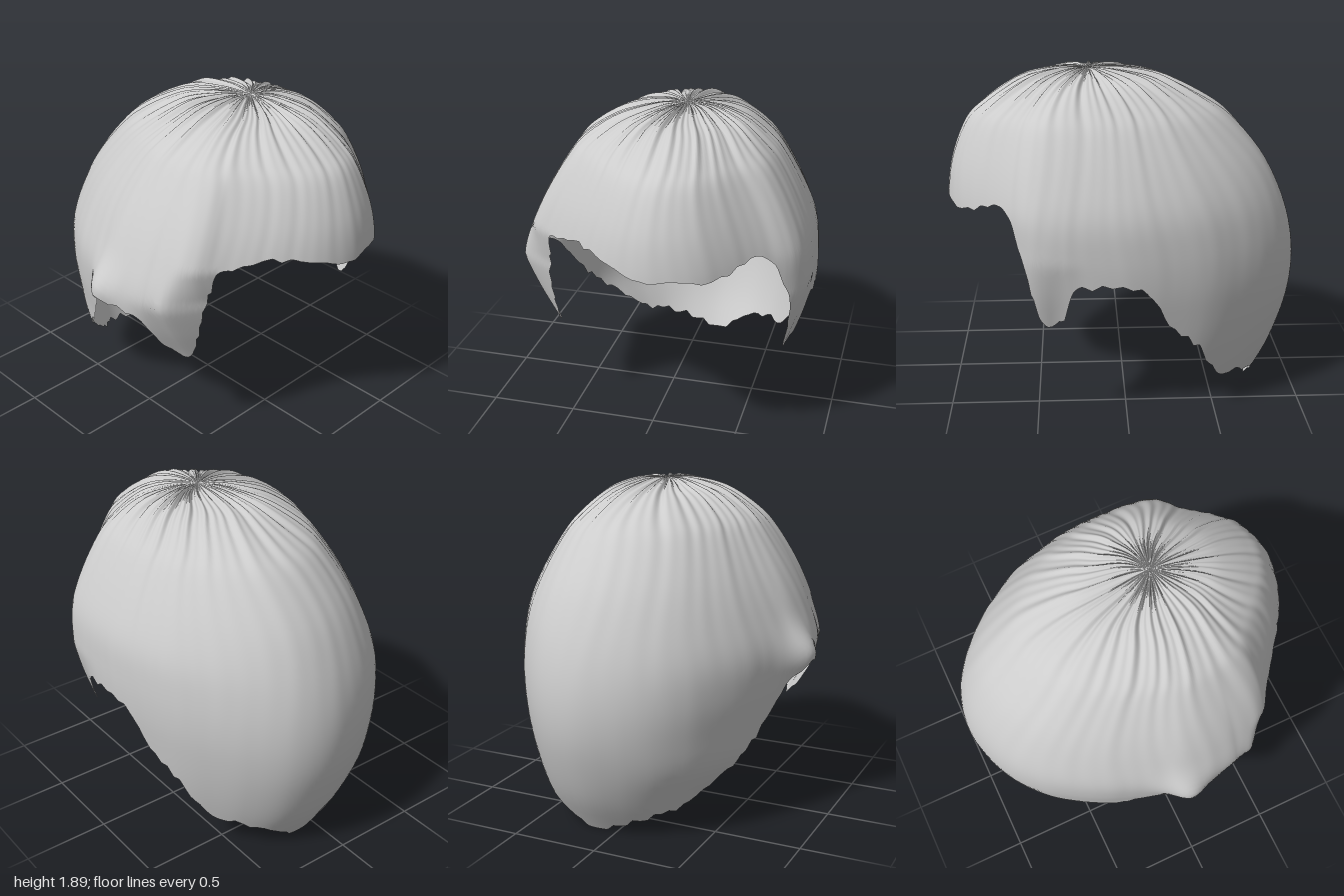
import * as THREE from 'three';

const COLS = 420, ROWS = 50;
const CX = 0.13, CZ = 0.2; // crown whorl that all strands radiate from

// Plan outline with the height of the hem below it: x, hem y, z
const HEM = [
  [0.13, 1.17, 1.0], [0.36, 1.17, 0.945], [0.51, 1.19, 0.83], [0.62, 1.22, 0.71], [0.71, 1.17, 0.625],
  [0.78, 1.02, 0.575], [0.83, 0.8, 0.52], [0.855, 0.57, 0.44], [0.865, 0.62, 0.36], [0.87, 0.82, 0.28],
  [0.87, 0.85, 0.15], [0.865, 0.85, 0], [0.85, 0.8, -0.1], [0.82, 0.6, -0.23], [0.76, 0.42, -0.43],
  [0.67, 0.21, -0.6], [0.54, 0.17, -0.78], [0.35, 0.09, -0.94], [0.13, -0.01, -1.0], [-0.1, 0.06, -0.96],
  [-0.29, 0.11, -0.87], [-0.44, 0.16, -0.74], [-0.55, 0.28, -0.59], [-0.64, 0.42, -0.43],
  [-0.72, 0.62, -0.23], [-0.77, 0.82, -0.1], [-0.81, 0.91, 0], [-0.82, 0.9, 0.15], [-0.81, 0.83, 0.28],
  [-0.79, 0.62, 0.36], [-0.775, 0.57, 0.44], [-0.73, 0.86, 0.54], [-0.67, 1.06, 0.59],
  [-0.58, 1.2, 0.64], [-0.45, 1.23, 0.74], [-0.28, 1.25, 0.86], [-0.1, 1.2, 0.955],
];

// Height, then reach from the whorl to front, back, +x side and -x side
const PROFILE = [
  [1.885, 0, 0, 0, 0], [1.88, 0.14, 0.16, 0.13, 0.13], [1.85, 0.31, 0.36, 0.24, 0.28],
  [1.8, 0.43, 0.5, 0.34, 0.41], [1.7, 0.58, 0.69, 0.45, 0.56], [1.6, 0.68, 0.82, 0.53, 0.65],
  [1.4, 0.765, 0.99, 0.64, 0.78], [1.2, 0.8, 1.1, 0.72, 0.88], [1.0, 0.8, 1.17, 0.74, 0.95],
  [0.8, 0.8, 1.2, 0.735, 0.95], [0.6, 0.8, 1.19, 0.71, 0.92], [0.4, 0.8, 1.14, 0.68, 0.89],
  [0.2, 0.8, 1.06, 0.64, 0.78], [0, 0.8, 0.94, 0.6, 0.72],
];
const FULL = [0, 0.8, 1.2, 0.74, 0.95];
const LAST = PROFILE.length - 1;

// Smooth value of one profile column at fractional row k
function profile(k, j) {
  const i = Math.min(Math.floor(k), LAST - 1), t = k - i;
  const at = (n) => n < 0 ? (j ? -PROFILE[1][j] : PROFILE[1][0])
    : n > LAST ? 2 * PROFILE[LAST][j] - PROFILE[LAST - 1][j] : PROFILE[n][j];
  const [a, b, c, d] = [at(i - 1), at(i), at(i + 1), at(i + 2)];
  return b + 0.5 * t * (c - a + t * (2 * a - 5 * b + 4 * c - d + t * (3 * (b - c) + d - a)));
}

// Profile row reached at a given height
function rowAt(y) {
  let lo = 1, hi = LAST;
  for (let n = 0; n < 30; n++) {
    const mid = (lo + hi) / 2;
    if (profile(mid, 0) > y) lo = mid; else hi = mid;
  }
  return lo;
}

const hash = (n) => { const s = Math.sin(n * 127.1 + 3.7) * 43758.5453; return s - Math.floor(s); };
const gauss = (v, width) => Math.exp(-((v / width) ** 2));
const { clamp, lerp, smoothstep } = THREE.MathUtils;

// Point of the hair surface for an outline point and profile row
function surfacePoint(p, k) {
  const a = Math.atan2(p.x - CX, p.z - CZ);
  // Strand grooves that wander a little on the way down
  const w = a + 0.03 * Math.sin(1.3 * k + 3 * a);
  const wave = (Math.sin(19 * w + 1) + Math.sin(31 * w + 2.3) + Math.sin(53 * w + 0.5)) / 3;
  const groove = wave * (gauss(k - 2, 2.2) + 0.12 * gauss(k - 6, 2.5));
  const scale = (j) => profile(k, j) / FULL[j] * (1 + 0.018 * groove);
  let x = CX + (p.x - CX) * scale(p.x > CX ? 3 : 4);
  const z = CZ + (p.z - CZ) * scale(p.z > CZ ? 1 : 2);
  const y = profile(k, 0) + 0.015 * groove * Math.min(1, k);
  // Sideburns curl inward toward their tips and along their front edges
  const tip = smoothstep(z, 0.15, 0.42) * clamp((0.97 - y) / 0.4, 0, 1);
  const edge = smoothstep(z, 0.42, 0.6) * clamp((1.2 - y) / 0.2, 0, 1);
  if (p.x > CX + 0.4) x -= 0.08 * tip + 0.02 * edge;
  if (p.x < CX - 0.4) x += 0.17 * tip + 0.14 * edge;
  // Flicked tuft over one ear
  if (x < CX) x -= 0.07 * gauss(z, 0.12) * gauss(y - 0.95, 0.12);
  return [x, y, z];
}

export function createModel() {
  const group = new THREE.Group();
  group.name = 'hairpiece';
  const hair = new THREE.MeshStandardMaterial({ color: 0xcccccc, side: THREE.DoubleSide });
  hair.name = 'light grey hair';

  const outline = new THREE.CatmullRomCurve3(HEM.map((p) => new THREE.Vector3(...p)), true)
    .getSpacedPoints(COLS);
  const positions = [], indices = [];
  for (let c = 0; c < COLS; c++) {
    const p = outline[c];
    // Ragged hem: short clumps of strands
    const n = Math.floor(c / 3);
    const ragged = lerp(hash(n), hash((n + 1) % (COLS / 3)), (c % 3) / 3) - 0.5;
    const end = rowAt(Math.max(0, p.y + 0.04 * ragged));
    for (let r = 0; r <= ROWS; r++) {
      positions.push(...surfacePoint(p, end * r / ROWS));
      if (r === ROWS) continue;
      const i = c * (ROWS + 1) + r, j = ((c + 1) % COLS) * (ROWS + 1) + r;
      indices.push(i, i + 1, j + 1);
      if (r > 0) indices.push(i, j + 1, j);
    }
  }
  const geometry = new THREE.BufferGeometry();
  geometry.setAttribute('position', new THREE.Float32BufferAttribute(positions, 3));
  geometry.setIndex(indices);
  geometry.computeVertexNormals();

  const shell = new THREE.Mesh(geometry, hair);
  shell.name = 'hairShell';
  group.add(shell);
  return group;
}
